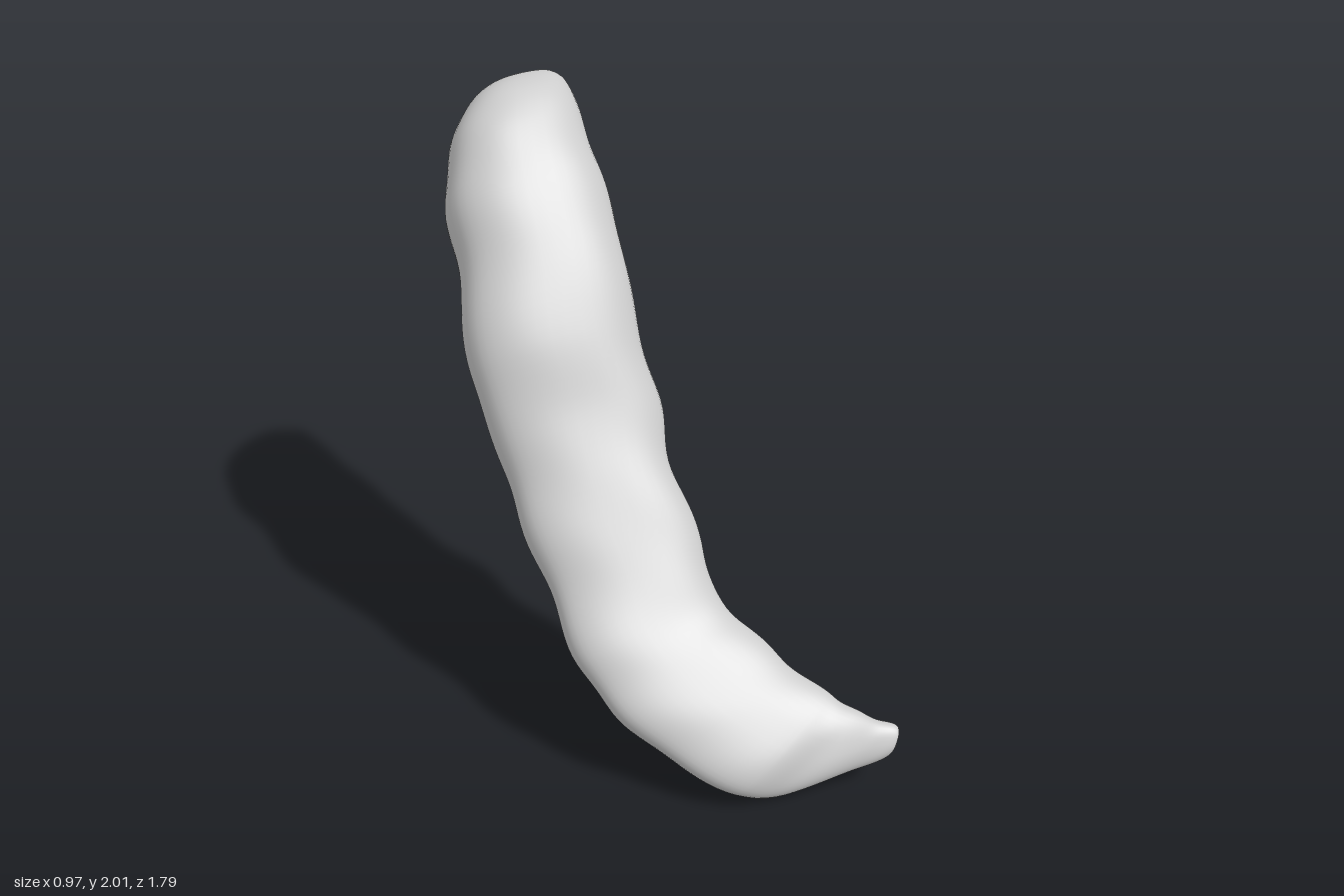
import * as THREE from 'three';

// Cross-sections from the tail tip to the thick top end:
// left edge x,y,z, right edge x,y,z, half thickness
const SECTIONS = [
  [0.475, 0.14, 0.87, 0.48, 0.18, 0.86, 0.004],
  [0.43, 0.11, 0.87, 0.485, 0.20, 0.84, 0.05],
  [0.32, 0.075, 0.84, 0.43, 0.22, 0.80, 0.065],
  [0.09, 0.005, 0.77, 0.38, 0.24, 0.74, 0.075],
  [-0.05, 0.055, 0.75, 0.33, 0.27, 0.67, 0.085],
  [-0.22, 0.165, 0.60, 0.25, 0.33, 0.55, 0.1],
  [-0.33, 0.275, 0.455, 0.18, 0.41, 0.42, 0.105],
  [-0.39, 0.40, 0.32, 0.11, 0.50, 0.305, 0.11],
  [-0.41, 0.59, 0.145, 0.11, 0.645, 0.21, 0.115],
  [-0.44, 0.79, -0.01, 0.08, 0.845, 0.05, 0.13],
  [-0.45, 0.98, -0.145, 0.10, 1.03, -0.09, 0.15],
  [-0.485, 1.21, -0.26, 0.08, 1.255, -0.21, 0.16],
  [-0.44, 1.46, -0.42, 0.10, 1.50, -0.38, 0.175],
  [-0.42, 1.65, -0.56, 0.10, 1.675, -0.53, 0.185],
  [-0.36, 1.79, -0.67, 0.10, 1.80, -0.66, 0.18],
  [-0.28, 1.88, -0.755, 0.105, 1.89, -0.755, 0.155],
  [-0.19, 1.925, -0.81, 0.08, 1.935, -0.825, 0.105],
  [-0.06, 1.95, -0.86, 0.01, 1.955, -0.86, 0.004],
];

const curveOf = (pick) => new THREE.CatmullRomCurve3(SECTIONS.map(pick), false, 'centripetal');
const softPow = (v, p) => Math.sign(v) * Math.abs(v) ** p;

function bodyGeometry(rows = 136, sides = 44) {
  const last = SECTIONS.length - 1;
  const left = curveOf((s) => new THREE.Vector3(s[0], s[1], s[2]));
  const right = curveOf((s) => new THREE.Vector3(s[3], s[4], s[5]));
  const thickness = curveOf((s, i) => new THREE.Vector3(s[6], i / last, 0));
  const faceNormal = new THREE.Vector3(0, 0.67, 0.74);
  const positions = [];
  const index = [];
  const p = new THREE.Vector3();

  for (let i = 0; i <= rows; i++) {
    const t = i / rows;
    const l = left.getPoint(t);
    const r = right.getPoint(t);
    const h = Math.max(thickness.getPoint(t).x, 0.003);
    const fade = Math.sin(Math.PI * t);
    for (let j = 0; j < sides; j++) {
      const a = (j / sides) * Math.PI * 2;
      const c = softPow(Math.cos(a), 0.85);
      const s = softPow(Math.sin(a), Math.sin(a) > 0 ? 0.8 : 0.95);
      // gentle hand-moulded lumps
      const lump = 0.006 * fade * Math.sin(t * 75 + 2 * Math.cos(a)) * Math.cos(a);
      p.lerpVectors(l, r, 0.5 + 0.5 * c);
      p.addScaledVector(faceNormal, h * s + lump * s);
      p.x += lump * c;
      positions.push(p.x, p.y, p.z);
      if (i < rows) {
        const k = (j + 1) % sides;
        const q = i * sides;
        index.push(q + j, q + sides + j, q + k, q + k, q + sides + j, q + sides + k);
      }
    }
  }
  // close the two tiny end rings
  const top = rows * sides;
  for (let j = 1; j < sides - 1; j++) {
    index.push(0, j, j + 1, top, top + j + 1, top + j);
  }

  const g = new THREE.BufferGeometry();
  g.setAttribute('position', new THREE.Float32BufferAttribute(positions, 3));
  g.setIndex(index);
  g.computeVertexNormals();
  return g;
}

export function createModel() {
  const group = new THREE.Group();
  const material = new THREE.MeshStandardMaterial({ color: 0xcccccc });
  const body = new THREE.Mesh(bodyGeometry(), material);
  body.name = 'curvedBody';
  group.add(body);
  return group;
}
